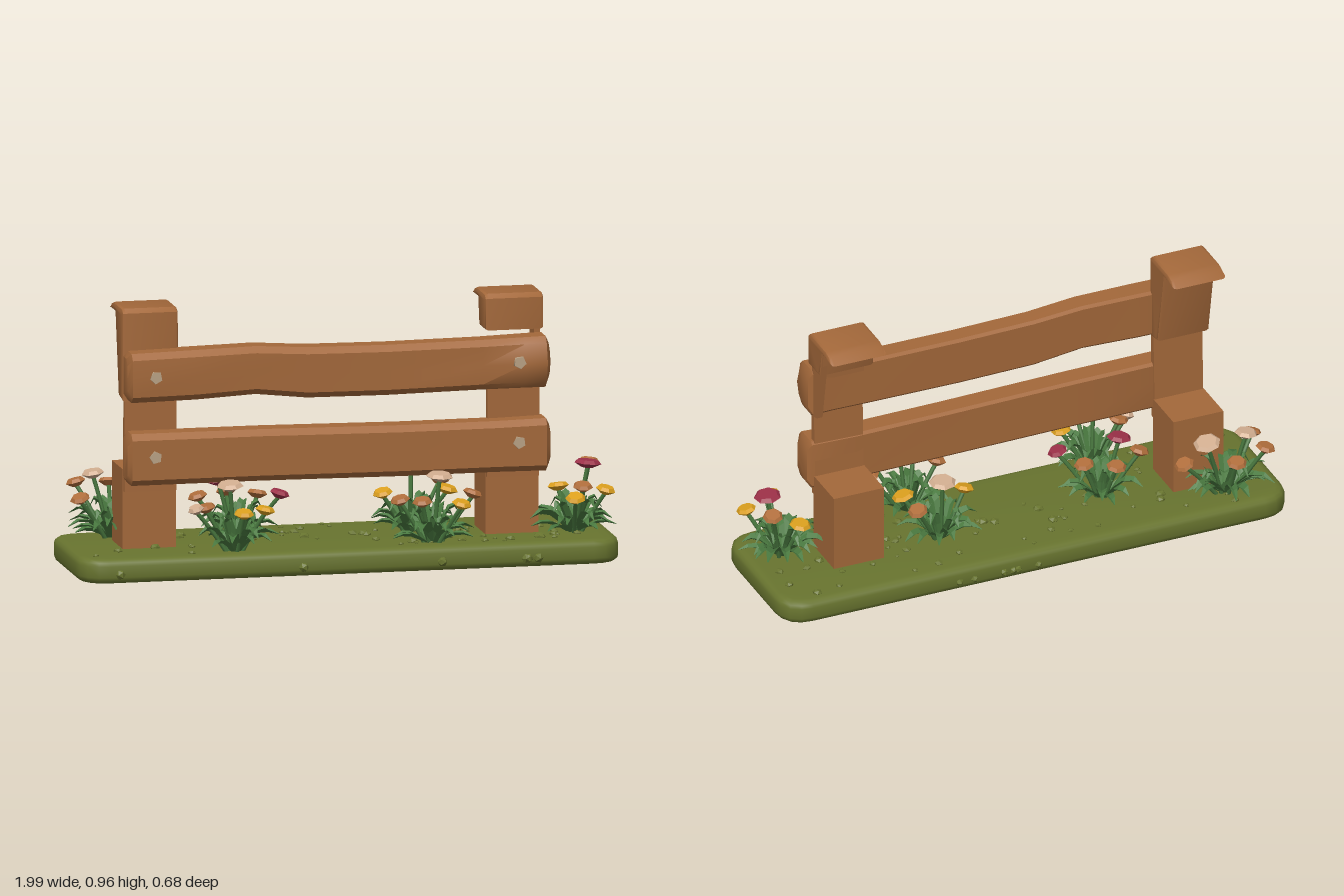
import * as THREE from 'three';
import { mergeGeometries, toCreasedNormals } from 'three/addons/utils/BufferGeometryUtils.js';

const paint = (name, color, extra = {}) =>
  Object.assign(new THREE.MeshStandardMaterial({ color, ...extra }), { name });

export function createModel() {
  const group = new THREE.Group();
  const wood = paint('wood', 0xa3683a);
  const grass = paint('grass', 0x68742f);
  const leaf = paint('leaf', 0x4a7a40, { side: THREE.DoubleSide });
  const nail = paint('nail', 0xb8a184);
  const petals = {
    cream: paint('cream petals', 0xd2ae90),
    yellow: paint('yellow petals', 0xdca01e),
    rose: paint('rose petals', 0x9c3048),
    copper: paint('copper petals', 0xb06e3c),
  };

  let seed = 7;
  const rand = (a = 0, b = 1) => {
    seed = (seed * 16807) % 2147483647;
    return a + (b - a) * (seed / 2147483647);
  };
  const add = (name, geometry, material, parent = group) => {
    const mesh = new THREE.Mesh(geometry, material);
    mesh.name = name;
    parent.add(mesh);
    return mesh;
  };
  const box = (w, h, d, x, y, z) => new THREE.BoxGeometry(w, h, d).translate(x, y, z);

  // Mesh skinned over rings of points; closed rings get end caps
  const loft = (rings, closed) => {
    const n = rings[0].length, pos = rings.flat(2), idx = [];
    const across = closed ? n : n - 1;
    for (let i = 0; i < rings.length - 1; i++)
      for (let j = 0; j < across; j++) {
        const a = i * n + j, b = i * n + (j + 1) % n;
        idx.push(a, b, a + n, b, b + n, a + n);
      }
    const last = (rings.length - 1) * n;
    if (closed) for (let j = 1; j < n - 1; j++) idx.push(0, j + 1, j, last, last + j, last + j + 1);
    const g = new THREE.BufferGeometry();
    g.setAttribute('position', new THREE.Float32BufferAttribute(pos, 3));
    g.setIndex(idx);
    g.computeVertexNormals();
    return g;
  };

  // Grass slab with rounded corners and edges
  const hx = 0.96, hz = 0.25, c = 0.08, b = 0.03;
  const plan = new THREE.Shape();
  plan.moveTo(-hx + c, -hz);
  plan.lineTo(hx - c, -hz).quadraticCurveTo(hx, -hz, hx, -hz + c);
  plan.lineTo(hx, hz - c).quadraticCurveTo(hx, hz, hx - c, hz);
  plan.lineTo(-hx + c, hz).quadraticCurveTo(-hx, hz, -hx, hz - c);
  plan.lineTo(-hx, -hz + c).quadraticCurveTo(-hx, -hz, -hx + c, -hz);
  const slab = new THREE.ExtrudeGeometry(plan, {
    depth: 0.04, bevelSize: b, bevelThickness: 0.025, bevelSegments: 3, curveSegments: 4,
  }).rotateX(-Math.PI / 2).translate(0, 0.025, -0.022);
  add('grassBase', toCreasedNormals(slab, 0.7), grass);

  // Small lumps on the turf, and a few along its sides
  const lumps = [];
  const lump = (x, y, z, r, flat) => lumps.push(new THREE.IcosahedronGeometry(r, 0)
    .rotateY(rand(0, 3)).scale(1, flat, 1).translate(x, y, z));
  for (let i = 0; i < 75; i++) lump(rand(-0.92, 0.92), 0.092, rand(-0.26, 0.21), rand(0.008, 0.021), 0.7);
  for (let i = 0; i < 6; i++) {
    lump(rand(-0.85, 0.85), 0.035, 0.256, 0.019, 1);
    lump(rand(-0.1, 0.5), 0.035, -0.3, 0.015, 1);
  }
  add('turfLumps', mergeGeometries(lumps), grass);

  // Solid from a side outline of [z, y] points, spanning x0 to x1
  const sideSolid = (pts, x0, x1, bevel) => {
    const s = new THREE.Shape(pts.map(p => new THREE.Vector2(p[0], p[1])));
    return new THREE.ExtrudeGeometry(s, {
      depth: x1 - x0 - 2 * bevel, bevelEnabled: bevel > 0, bevelSize: bevel,
      bevelOffset: -bevel, bevelThickness: bevel, bevelSegments: 2,
    }).rotateY(-Math.PI / 2).translate(x1 - bevel, 0, 0);
  };
  const cap = [[-0.13, 0.935], [-0.1, 0.957], [-0.07, 0.965], [0.07, 0.965], [0.09, 0.95]];

  // Posts: stump, thin face board and hooked head
  const post = (name, x, head) => {
    const g = new THREE.Group();
    g.name = name;
    group.add(g);
    add('stump', box(0.195, 0.32, 0.18, x, 0.22, -0.03), wood, g);
    add('faceBoard', sideSolid([[0.05, 0.3], [0.062, 0.64], [0.05, 0.8], [0.085, 0.8], [0.08, 0.3]],
      x - 0.095, x + 0.095, 0), wood, g);
    head.forEach(h => add('head', toCreasedNormals(h, 0.6), wood, g));
  };
  post('rightPost', -0.7, [
    sideSolid([[0.09, 0.63], [0.02, 0.64], [-0.035, 0.935], ...cap].reverse(), -0.805, -0.6, 0.012)]);
  post('leftPost', 0.625, [
    sideSolid([[0.09, 0.835], [-0.015, 0.835], [-0.035, 0.935], ...cap].reverse(), 0.52, 0.735, 0.012),
    sideSolid([[0.06, 0.63], [0.02, 0.64], [-0.034, 0.935], [0.06, 0.935]].reverse(), 0.705, 0.728, 0)]);

  // Rails: chamfered sections [x, bottom, top, back, front, nose]
  const rail = (name, stations) => {
    const rings = stations.map(([x, y0, y1, z0, z1, nose = 0]) => {
      const e = 0.022, m = (y0 + y1) / 2;
      return [[x, y0, z0 + 0.01], [x, y0 + 0.01, z0], [x, y1 - 0.01, z0], [x, y1, z0 + 0.01],
        [x, y1, z1 - e], [x, y1 - e, z1], [x, m, z1 + nose], [x, y0 + e, z1], [x, y0, z1 - e]];
    });
    add(name, toCreasedNormals(loft(rings, true), 0.6), wood);
  };
  rail('upperRail', [
    [-0.8, 0.66, 0.795, 0.075, 0.155], [-0.785, 0.637, 0.815, 0.065, 0.175, 0.005],
    [-0.55, 0.64, 0.82, 0.065, 0.172, 0.004], [-0.33, 0.65, 0.824, 0.062, 0.165],
    [-0.14, 0.628, 0.811, 0.06, 0.158], [0.15, 0.625, 0.807, 0.057, 0.155],
    [0.5, 0.63, 0.81, 0.052, 0.152], [0.65, 0.632, 0.815, 0.052, 0.16, 0.015],
    [0.73, 0.632, 0.817, 0.05, 0.16, 0.02], [0.745, 0.66, 0.79, 0.06, 0.14, 0.015]]);
  rail('lowerRail', [
    [-0.8, 0.355, 0.5, 0.075, 0.15], [-0.785, 0.335, 0.523, 0.065, 0.17],
    [-0.3, 0.335, 0.522, 0.062, 0.168], [0.2, 0.33, 0.515, 0.06, 0.165],
    [0.55, 0.33, 0.515, 0.055, 0.16], [0.73, 0.33, 0.52, 0.055, 0.168],
    [0.745, 0.355, 0.495, 0.065, 0.15]]);

  // Flat nail heads at the rail ends
  for (const [x, y, z] of [[-0.7, 0.73, 0.178], [-0.7, 0.438, 0.17], [0.63, 0.73, 0.173], [0.63, 0.438, 0.164]])
    add('nailHead', new THREE.CylinderGeometry(0.023, 0.025, 0.009, 5)
      .rotateX(Math.PI / 2).rotateZ(x * 3 + y).translate(x, y, z), nail);

  // One arching, folded leaf blade
  const blade = (angle, len, rise, width) => {
    const rings = [0, 0.25, 0.5, 0.75, 1].map(t => {
      const r = 0.015 + len * t, y = 0.085 + rise * Math.sin(t * 2.3);
      const w = width * (0.5 + 1.6 * t) * (1 - t * t) + 0.002;
      return [[r, y + w * 0.4, -w], [r, y - w * 0.3, 0], [r, y + w * 0.4, w]];
    });
    return loft(rings, false).toNonIndexed().rotateY(angle);
  };

  // Flowering clump; each bloom is [x, y, z, colour, radius]
  const clump = (name, cx, cz, reach, count, blooms) => {
    const g = new THREE.Group();
    g.name = name;
    group.add(g);
    const blades = [];
    for (let i = 0; i < count; i++) {
      const inner = i % 3 === 0;
      blades.push(blade(i * 2.4 + rand(-0.2, 0.2), reach * (inner ? rand(0.4, 0.6) : rand(0.75, 1.05)),
        inner ? rand(0.1, 0.15) : rand(0.04, 0.1), rand(0.014, 0.021)).translate(cx, 0, cz));
    }
    const leaves = mergeGeometries(blades);
    leaves.computeVertexNormals();
    add('leaves', leaves, leaf, g);
    for (const [x, y, z, colour, r = 0.037] of blooms) {
      const dx = x - cx, dz = z - cz;
      const path = new THREE.QuadraticBezierCurve3(
        new THREE.Vector3(cx + dx * 0.2, 0.08, cz + dz * 0.2),
        new THREE.Vector3(cx + dx * 0.6, y * 0.7, cz + dz * 0.6),
        new THREE.Vector3(x, y - 0.008, z));
      add('stem', new THREE.TubeGeometry(path, 5, 0.008, 5), leaf, g);
      const head = new THREE.CylinderGeometry(r * 0.75, r, 0.012, 7).translate(0, 0.006, 0);
      const under = new THREE.CylinderGeometry(r, r * 0.4, 0.016, 7).translate(0, -0.008, 0);
      const bloom = add('bloom', mergeGeometries([head, under]).toNonIndexed(), petals[colour], g);
      bloom.geometry.computeVertexNormals();
      bloom.position.set(x, y, z);
      bloom.rotation.set(dz * 2.2, rand(0, 0.4), -dx * 2.2);
    }
  };

  clump('rightBackFlowers', -0.78, -0.18, 0.17, 30, [
    [-0.77, 0.27, -0.3, 'copper'], [-0.9, 0.28, -0.26, 'copper'], [-0.85, 0.32, -0.2, 'cream', 0.042],
    [-0.68, 0.34, -0.24, 'cream', 0.05], [-0.6, 0.26, -0.22, 'copper'], [-0.92, 0.25, -0.09, 'copper']]);
  clump('rightMiddleBackFlowers', -0.36, -0.03, 0.14, 22, [
    [-0.43, 0.31, -0.03, 'rose', 0.045], [-0.38, 0.25, -0.12, 'copper'], [-0.5, 0.25, -0.05, 'copper'],
    [-0.28, 0.25, -0.06, 'copper'], [-0.22, 0.265, 0.04, 'rose']]);
  clump('rightMiddleFrontFlowers', -0.41, 0.17, 0.14, 22, [
    [-0.44, 0.335, 0.22, 'cream', 0.05], [-0.52, 0.25, 0.18, 'copper'], [-0.56, 0.25, 0.2, 'cream', 0.03],
    [-0.4, 0.24, 0.27, 'yellow'], [-0.31, 0.24, 0.21, 'yellow']]);
  clump('leftMiddleBackFlowers', 0.28, -0.06, 0.15, 22, [
    [0.29, 0.335, -0.1, 'cream', 0.05], [0.4, 0.26, -0.13, 'copper'], [0.17, 0.24, -0.02, 'yellow'],
    [0.4, 0.25, 0, 'yellow', 0.042]]);
  clump('leftMiddleFrontFlowers', 0.31, 0.16, 0.15, 22, [
    [0.33, 0.335, 0.2, 'cream', 0.05], [0.46, 0.26, 0.16, 'copper'], [0.4, 0.24, 0.25, 'yellow'],
    [0.26, 0.25, 0.23, 'copper'], [0.19, 0.25, 0.18, 'copper']]);
  clump('leftEndFlowers', 0.85, 0.06, 0.16, 30, [
    [0.9, 0.335, 0.065, 'rose', 0.05], [0.93, 0.32, -0.05, 'copper'], [0.81, 0.24, -0.02, 'yellow', 0.04],
    [0.86, 0.27, 0.17, 'copper'], [0.82, 0.24, 0.23, 'yellow'], [0.95, 0.25, 0.14, 'yellow']]);

  return group;
}
